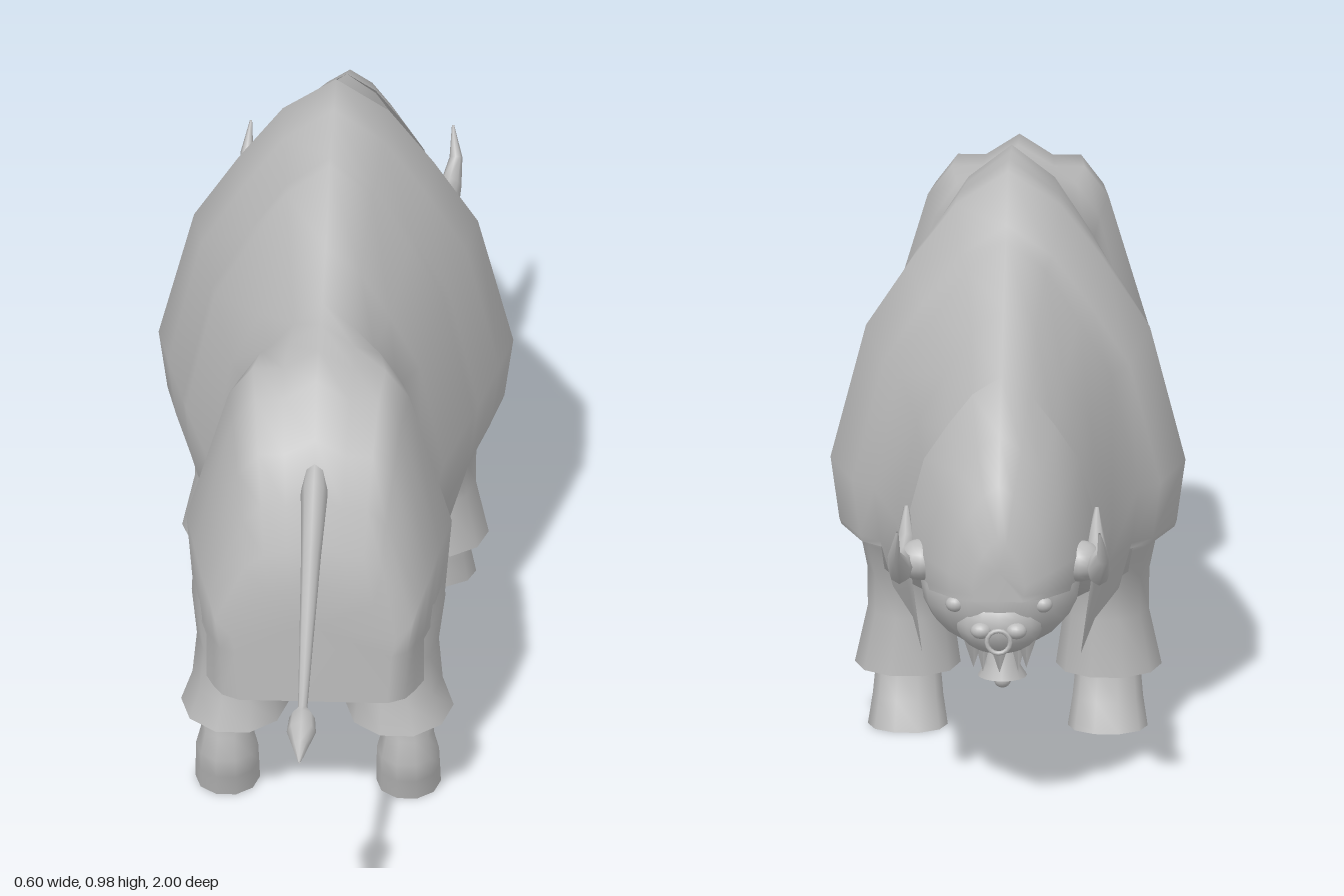
import * as THREE from 'three';
import { mergeVertices } from 'three/addons/utils/BufferGeometryUtils.js';

const hide = new THREE.MeshStandardMaterial({ color: 0xbcbcbc, side: THREE.DoubleSide });
hide.name = 'plain grey';

// Skin a row of equal-length point loops; closed loops wrap, caps fill the ends.
function loft(rings, { closed = true, capStart = false, capEnd = false } = {}) {
  const n = rings[0].length, pos = rings.flat(2), idx = [];
  for (let i = 0; i < rings.length - 1; i++) {
    for (let j = 0; j < (closed ? n : n - 1); j++) {
      const a = i * n + j, b = i * n + (j + 1) % n;
      idx.push(a, b, a + n, b, b + n, a + n);
    }
  }
  const cap = (ring, flip) => {
    const base = pos.length / 3;
    const mid = [0, 1, 2].map(k => ring.reduce((s, p) => s + p[k], 0) / n);
    pos.push(...ring.flat(), ...mid);
    for (let j = 0; j < n; j++) {
      const a = base + j, b = base + (j + 1) % n;
      idx.push(base + n, flip ? b : a, flip ? a : b);
    }
  };
  if (capStart) cap(rings[0], true);
  if (capEnd) cap(rings[rings.length - 1], false);
  const g = new THREE.BufferGeometry();
  g.setAttribute('position', new THREE.Float32BufferAttribute(pos, 3));
  g.setIndex(idx);
  g.computeVertexNormals();
  return g;
}

// Horizontal oval loop used for legs: [y, cx, cz, rx, rz]
function oval([y, cx, cz, rx, rz], sides = 10) {
  return Array.from({ length: sides }, (_, i) => {
    const a = i / sides * Math.PI * 2;
    return [cx + Math.cos(a) * rx, y, cz + Math.sin(a) * rz];
  });
}

// Loops around a path running in the y-z plane: [x, y, z, rx, r]
function tubeRings(path, sides = 8) {
  return path.map(([x, y, z, rx, r], i) => {
    const p = path[Math.max(0, i - 1)], q = path[Math.min(path.length - 1, i + 1)];
    const dy = q[1] - p[1], dz = q[2] - p[2], l = Math.hypot(dy, dz);
    return Array.from({ length: sides }, (_, k) => {
      const a = k / sides * Math.PI * 2, s = Math.sin(a) * r;
      return [x + Math.cos(a) * rx, y - s * dz / l, z + s * dy / l];
    });
  });
}

// Coat: half outlines (x, height) for the humped front and the bony rump
const hump = [[0, 1], [.3, .903], [.55, .742], [.8, .556], [1, .177], [.95, 0]];
const rump = [[0, 1], [.27, .92], [.5, .92], [.68, .81], [1, .29], [.95, 0]];
function coatRing(z, top, w, k, hem) {
  const floor = Math.max(.36, hem + .01), mix = THREE.MathUtils.lerp;
  const half = hump.map(([x, h], i) => [
    w * mix(x, rump[i][0], k), mix(floor, top, mix(h, rump[i][1], k)), z]);
  half.push([w * (.95 - (floor - hem) * 1.2 * (1 - k)), hem, z]);
  return [...half.slice(1).reverse().map(([x, y]) => [-x, y, z]), ...half];
}

function coatGeometry() {
  // [z, top, half width, rump share]
  const stations = [
    [.478, .5, .14, .6], [.462, .57, .168, .8], [.435, .65, .18, 1], [.4, .74, .195, 1],
    [.34, .82, .21, 1], [.25, .828, .226, 1], [.18, .836, .2, .8], [.12, .845, .168, .4],
    [0, .88, .2, 0], [-.15, .953, .245, 0], [-.18, .952, .252, 0], [-.3, .973, .282, 0],
    [-.39, .98, .302, 0], [-.49, .915, .262, 0], [-.52, .895, .225, 0], [-.65, .815, .185, 0],
    [-.8, .742, .165, 0], [-.925, .675, .127, 0], [-.97, .6, .085, 0], [-.992, .51, .045, 0]];
  // Stepped hem: [rear z, front z, rear height, front height]
  const hems = [
    [.478, .4, .268, .268], [.4, .12, .35, .35], [.12, -.18, .238, .222],
    [-.18, -.52, .35, .35], [-.52, -.8, .28, .25], [-.8, -.992, .4, .4]];
  const rings = hems.flatMap(([z0, z1, h0, h1]) => stations
    .filter(([z]) => z <= z0 && z >= z1)
    .map(([z, ...r]) => coatRing(z, ...r, THREE.MathUtils.mapLinear(z, z0, z1, h0, h1))));
  // Weld the doubled rings so shading runs smoothly over the steps
  const g = loft(rings, { closed: false, capStart: true, capEnd: true });
  g.deleteAttribute('normal');
  const welded = mergeVertices(g);
  welded.computeVertexNormals();
  return welded;
}

export function createModel() {
  const group = new THREE.Group();
  group.name = 'shaggyOx';
  const add = (name, geometry, x = 0, y = 0, z = 0) => {
    const m = new THREE.Mesh(geometry, hide);
    m.name = name;
    m.position.set(x, y, z);
    group.add(m);
    return m;
  };
  const ball = (name, x, y, z, rx, ry, rz) =>
    add(name, new THREE.SphereGeometry(1, 16, 12), x, y, z).scale.set(rx, ry, rz);

  add('coat', coatGeometry());

  // Belly hung inside the coat: [z, half width, lowest y]
  const belly = [
    [.44, .15, .32], [.3, .17, .28], [.19, .165, .255], [0, .18, .215], [-.25, .24, .197],
    [-.4, .26, .203], [-.48, .235, .212], [-.58, .18, .255], [-.7, .155, .29], [-.82, .13, .32],
  ].map(([z, w, y]) => [1, .85, .45, 0, -.45, -.85, -1].map(x => {
    const a = Math.abs(x);
    return [x * w, a === 1 ? .42 : y + (a > .8 ? .08 : a * .07), z];
  }));
  add('belly', loft(belly, { closed: false }));

  // Legs: shaggy flared sleeves with hooves below
  for (const s of [1, -1]) {
    const leg = (name, rows, capEnd = false) =>
      add(name, loft(rows.map(([y, cx, ...r]) => oval([y, cx * s, ...r])), { capEnd }));
    leg('frontLegSleeve', [
      [.46, .16, -.355, .08, .16], [.36, .165, -.355, .095, .165], [.33, .165, -.358, .088, .145],
      [.27, .165, -.368, .075, .094], [.2, .167, -.37, .072, .084], [.1, .171, -.37, .09, .091]]);
    leg('frontHoof', [
      [.2, .168, -.37, .045, .04], [.1, .17, -.38, .055, .043],
      [.05, .17, -.393, .06, .05], [0, .17, -.405, .068, .057]], true);
    leg('hindLegSleeve', [
      [.48, .13, .28, .08, .13], [.36, .13, .27, .086, .145], [.29, .13, .295, .076, .105],
      [.22, .135, .307, .078, .108], [.17, .14, .315, .092, .114]]);
    leg('hindHoof', [
      [.26, .15, .3, .052, .06], [.17, .152, .3, .05, .058], [.115, .154, .312, .044, .043],
      [.08, .154, .31, .053, .064], [.04, .154, .295, .054, .066], [0, .154, .285, .055, .065]], true);

    // Crescent horn, swept forward and up
    add('horn', loft(tubeRings([
      [.162 * s, .51, -.8, .004, .004], [.162 * s, .46, -.835, .016, .024],
      [.165 * s, .433, -.88, .022, .032], [.17 * s, .44, -.935, .019, .026],
      [.178 * s, .475, -.975, .011, .015], [.172 * s, .525, -.998, .002, .002]])));
    ball('hornRoot', .135 * s, .44, -.88, .04, .035, .04);
    ball('eye', .075 * s, .385, -.955, .016, .014, .014);
    ball('nostril', .03 * s, .345, -.98, .018, .014, .015);
  }

  // Face under the fringe
  ball('head', 0, .4, -.875, .135, .112, .108);
  ball('muzzle', 0, .35, -.925, .078, .06, .062);
  add('noseRing', new THREE.TorusGeometry(.02, .004, 6, 16), 0, .328, -.99);

  // Beard tufts under the jaw
  for (const [x, z, len] of [[0, -.93, .07], [.045, -.9, .07], [-.045, -.9, .07],
    [.03, -.86, .09], [-.03, -.86, .09], [0, -.83, .07]]) {
    const tuft = new THREE.ConeGeometry(.025, len, 6);
    tuft.rotateX(Math.PI);
    add('beardTuft', tuft, x, .325 - len / 2, z);
  }

  // Neck bell with clapper
  const bell = [[.006, .275], [.018, .262], [.026, .245], [.028, .215], [.042, .193], [.036, .193], [.02, .23]];
  add('bell', new THREE.LatheGeometry(bell.map(p => new THREE.Vector2(...p)), 16), 0, 0, -.74);
  ball('clapper', 0, .185, -.74, .015, .015, .015);

  // Tail with pointed tuft
  add('tail', loft(tubeRings([
    [0, .68, .39, .018, .03], [0, .655, .435, .023, .036], [0, .605, .56, .017, .019],
    [0, .545, .73, .012, .012], [0, .495, .875, .008, .008], [0, .488, .895, .022, .022],
    [0, .478, .925, .025, .025], [0, .47, .96, .014, .014], [0, .463, 1, .002, .002]])));

  return group;
}
